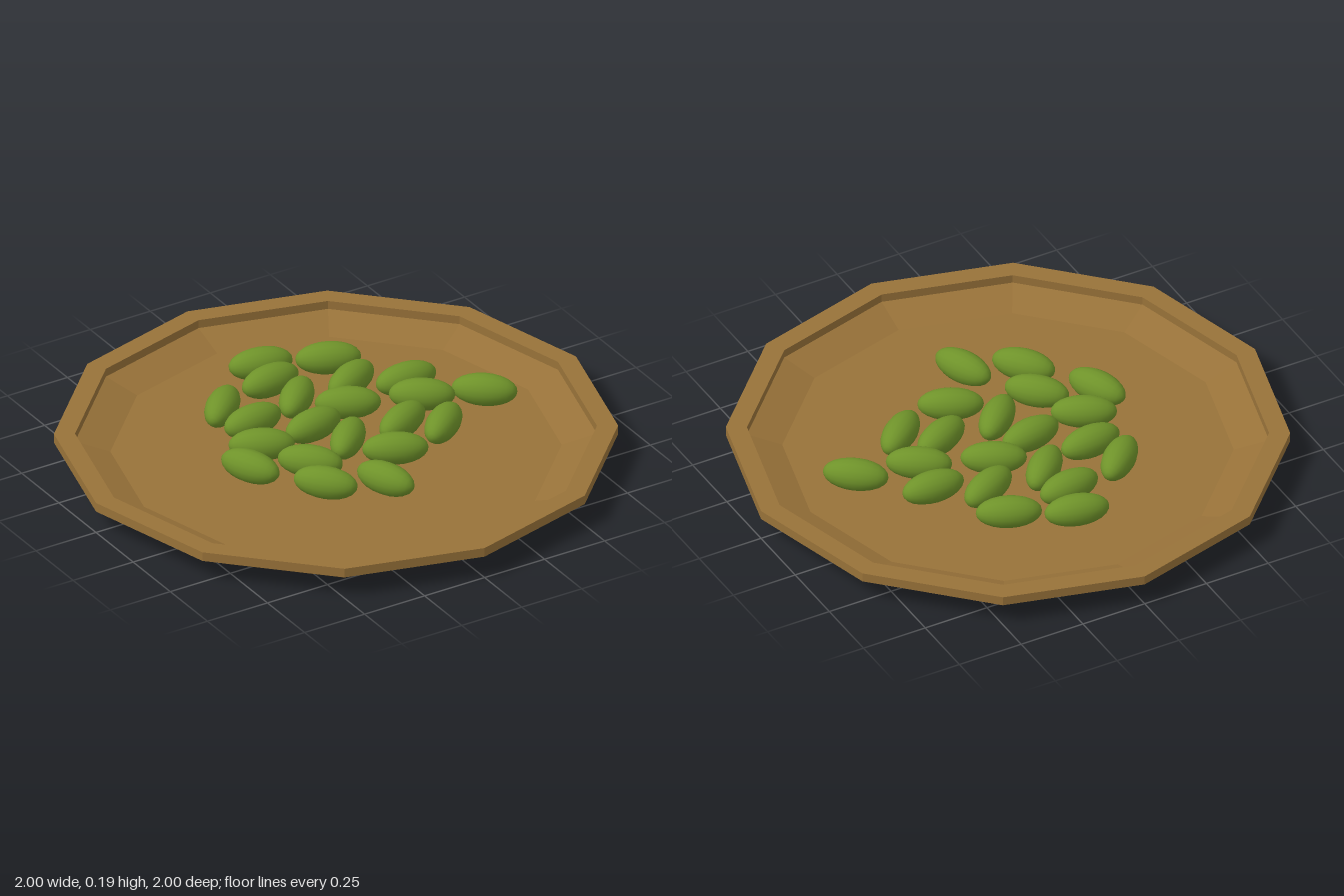
import * as THREE from 'three';

const wood = new THREE.MeshStandardMaterial({ color: 0x987239 });
wood.name = 'plate brown';
const green = new THREE.MeshStandardMaterial({ color: 0x6f932a });
green.name = 'olive green';

// Twelve-sided faceted ring or dish turned from [radius, height] pairs
function turned(name, profile) {
  const points = profile.map(([r, y]) => new THREE.Vector2(r, y));
  const geometry = new THREE.LatheGeometry(points, 12).toNonIndexed();
  geometry.computeVertexNormals();
  const mesh = new THREE.Mesh(geometry, wood);
  mesh.name = name;
  return mesh;
}

// Each bean: x, z, heading in degrees (from +x towards +z), height of centre
const beans = [
  [0.02, -0.54, 14, 0.125], [0.24, -0.44, 24, 0.13], [-0.26, -0.345, -42, 0.127],
  [-0.02, -0.41, -5, 0.13], [0, -0.265, -43, 0.125], [0.23, -0.27, -24, 0.127],
  [0.4, -0.175, 3, 0.127], [-0.22, -0.205, -4, 0.125], [0.13, -0.13, 28, 0.13],
  [-0.055, -0.065, -8, 0.125], [-0.285, -0.04, 28, 0.127], [0.38, -0.035, 33, 0.135],
  [0.6, 0.03, 40, 0.12], [-0.4, 0.07, 65, 0.125], [-0.2, 0.15, 45, 0.125],
  [0, 0.08, -43, 0.125], [0.23, 0.075, -24, 0.125], [0.345, 0.165, -38, 0.125],
  [0.105, 0.23, 27, 0.125], [-0.235, 0.31, 50, 0.125], [-0.04, 0.4, 67, 0.127],
];

export function createModel() {
  const model = new THREE.Group();
  model.name = 'plateOfBeans';

  // Dish: flat base, flared side, then the sunken floor
  model.add(turned('dishUnderside', [[0, 0], [0.85, 0], [0.975, 0.085]]));
  model.add(turned('dishInside', [[0.925, 0.088], [0.8, 0.045], [0, 0.045]]));

  // Upright rim band
  model.add(turned('rim', [[0.975, 0.085], [1, 0.085], [1, 0.12], [0.925, 0.12], [0.925, 0.088]]));

  // Scattered long beans, poles at the tips
  const beanShape = new THREE.SphereGeometry(1, 16, 12);
  beanShape.rotateZ(Math.PI / 2);
  beanShape.scale(0.118, 0.06, 0.058);
  const heap = new THREE.Group();
  heap.name = 'beans';
  beans.forEach(([x, z, heading, y], i) => {
    const bean = new THREE.Mesh(beanShape, green);
    bean.name = `bean${i + 1}`;
    bean.position.set(x, y, z);
    bean.rotation.y = -THREE.MathUtils.degToRad(heading);
    heap.add(bean);
  });
  model.add(heap);
  return model;
}
